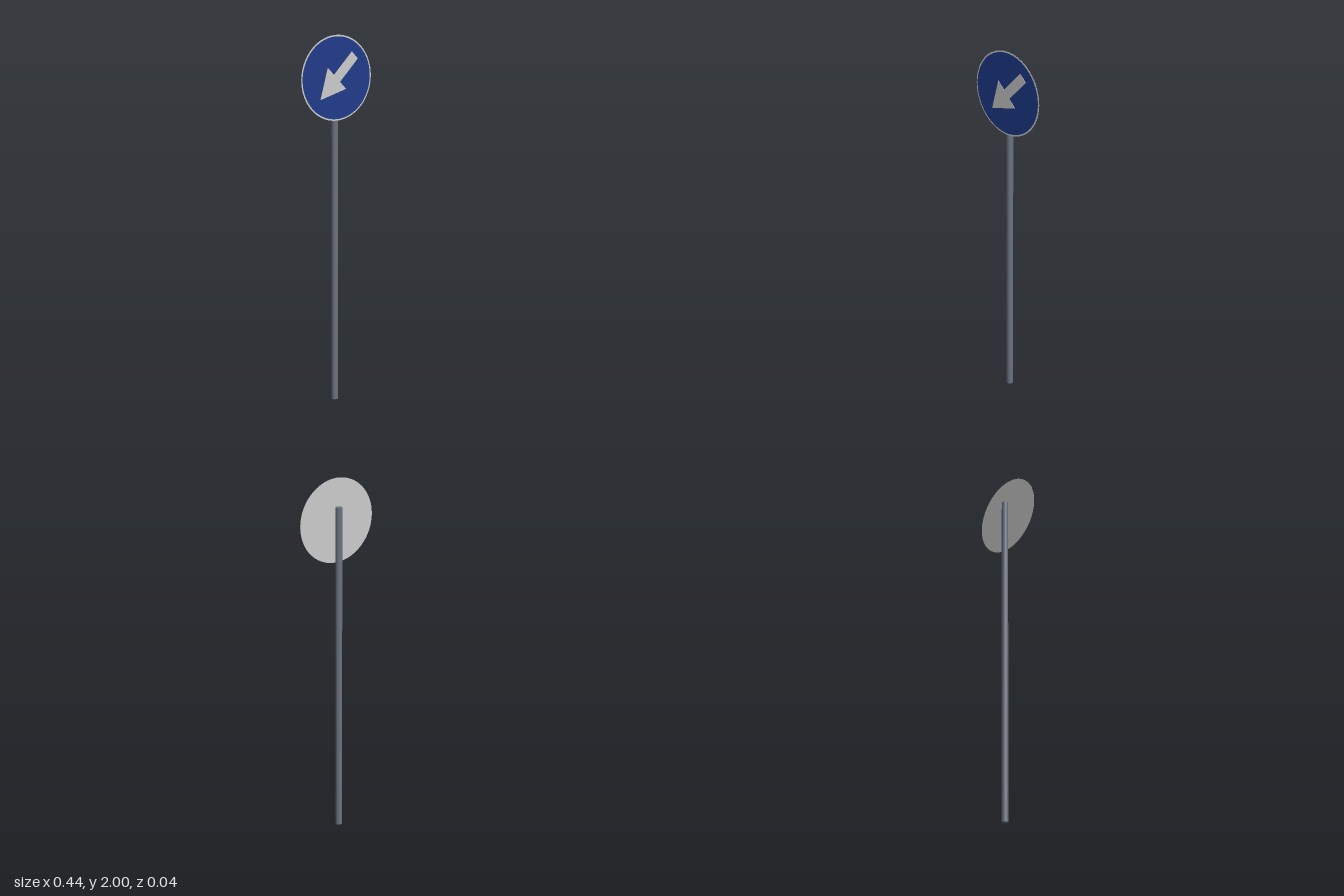
import * as THREE from 'three';

const CENTER_Y = 1.779;

function addPart(group, name, geometry, color, x, y, z) {
  const material = new THREE.MeshStandardMaterial({ color });
  const mesh = new THREE.Mesh(geometry, material);
  mesh.name = name;
  mesh.position.set(x, y, z);
  group.add(mesh);
  return mesh;
}

// Thin round plate facing +z
function plate(radius, thickness) {
  return new THREE.CylinderGeometry(radius, radius, thickness, 64).rotateX(Math.PI / 2);
}

// Arrow drawn along +x from its tip, then turned to point down and to the side
function arrowGeometry(thickness) {
  const headLength = 0.147, headHalf = 0.082, shaftHalf = 0.027, length = 0.308;
  const shape = new THREE.Shape([
    [0, 0], [headLength, -headHalf], [headLength, -shaftHalf], [length, -shaftHalf],
    [length, shaftHalf], [headLength, shaftHalf], [headLength, headHalf],
  ].map(([x, y]) => new THREE.Vector2(x, y)));
  return new THREE.ExtrudeGeometry(shape, { depth: thickness, bevelEnabled: false })
    .rotateZ(Math.PI / 4);
}

export function createModel() {
  const group = new THREE.Group();
  group.name = 'roadSign';

  // Round post, standing behind the plate
  const postHeight = 1.853;
  addPart(group, 'post', new THREE.CylinderGeometry(0.018, 0.018, postHeight, 32),
    0x6b7280, 0, postHeight / 2, -0.0035);

  // Grey backing plate, its edge showing as a rim around the blue face
  addPart(group, 'backPlate', plate(0.221, 0.001), 0xcccccc, 0, CENTER_Y, 0.015);
  addPart(group, 'blueFace', plate(0.213, 0.001), 0x1e3a8a, 0, CENTER_Y, 0.0162);

  // Arrow, its tip at the lower left of the face as seen from the front
  addPart(group, 'arrow', arrowGeometry(0.002), 0xcccccc, -0.105, 1.674, 0.0175);

  return group;
}
